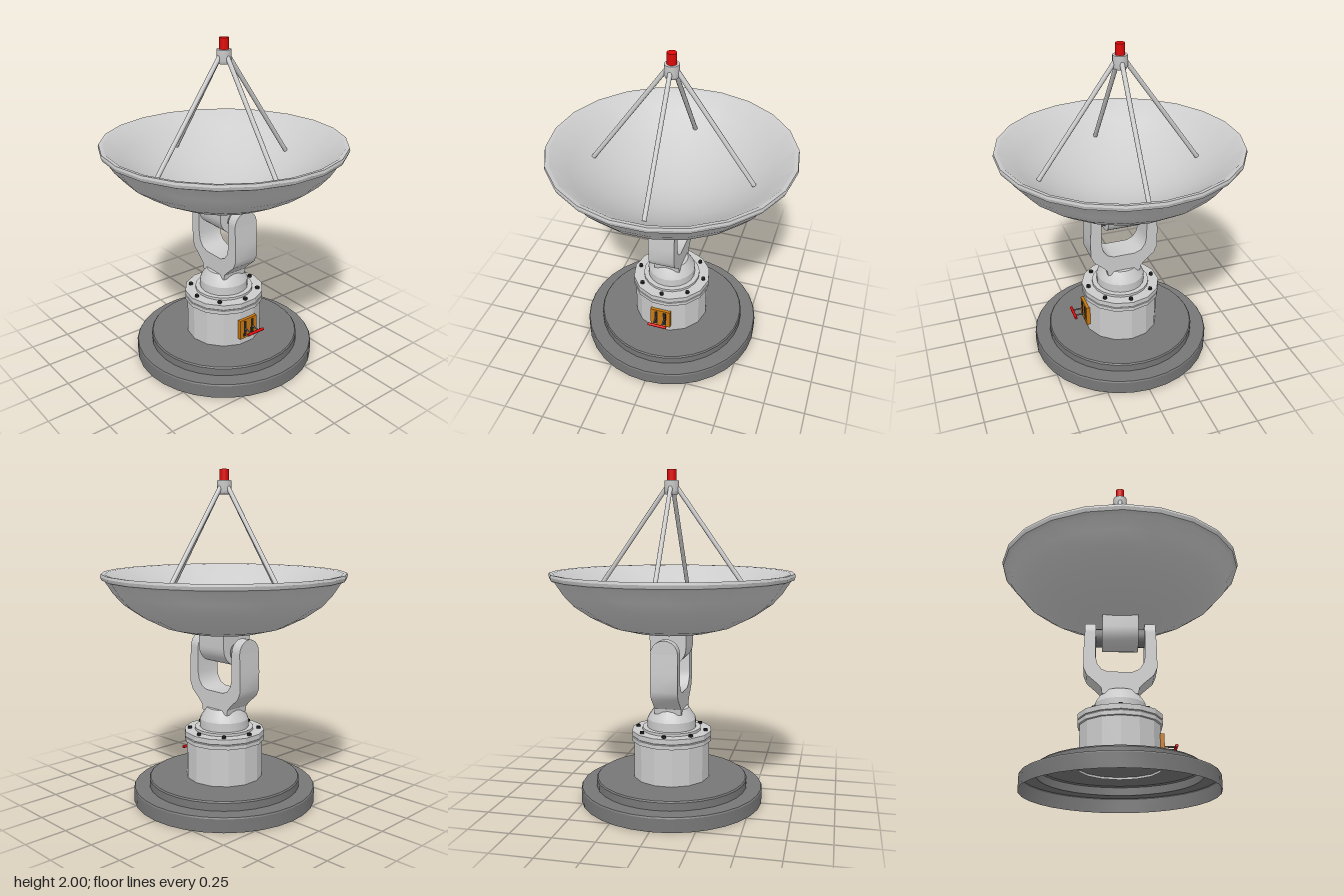
import * as THREE from 'three';
import { toCreasedNormals } from 'three/addons/utils/BufferGeometryUtils.js';

const material = (color, side = THREE.FrontSide) => new THREE.MeshStandardMaterial({ color, side });

export function createModel() {
  const model = new THREE.Group();
  const grey = material(0xcccccc);
  const greyBoth = material(0xcccccc, THREE.DoubleSide);
  const darkBoth = material(0x777777, THREE.DoubleSide);
  const dark = material(0x777777);
  const black = material(0x222222);
  const red = material(0xdd0808);
  const orange = material(0xc87810);

  const add = (name, geometry, mat, x = 0, y = 0, z = 0) => {
    const mesh = new THREE.Mesh(geometry, mat);
    mesh.name = name;
    mesh.position.set(x, y, z);
    model.add(mesh);
    return mesh;
  };

  // Turned part from [radius, height] pairs, with edges sharper than crease kept hard
  const turned = (name, profile, sides, crease, mat) => {
    const points = profile.map(([r, y]) => new THREE.Vector2(r, y));
    return add(name, toCreasedNormals(new THREE.LatheGeometry(points, sides), crease), mat);
  };

  // Round bar between two points
  const bar = (name, from, to, radius, mat, sides = 10) => {
    const a = new THREE.Vector3(...from), b = new THREE.Vector3(...to);
    const dir = b.clone().sub(a);
    const mesh = add(name, new THREE.CylinderGeometry(radius, radius, dir.length(), sides), mat);
    mesh.position.copy(a).add(b).multiplyScalar(0.5);
    mesh.quaternion.setFromUnitVectors(new THREE.Vector3(0, 1, 0), dir.normalize());
    return mesh;
  };

  // Stepped base, open underneath
  turned('base', [
    [0.56, 0], [0.56, 0.08], [0.555, 0.088], [0.465, 0.088],
    [0.465, 0.135], [0.458, 0.143], [0, 0.143],
  ], 32, 0.5, darkBoth);

  // Faceted pedestal with its bolted flange
  turned('pedestal', [[0.235, 0.13], [0.235, 0.38]], 14, 0.3, greyBoth);
  turned('flange', [
    [0.23, 0.372], [0.247, 0.374], [0.247, 0.398], [0.243, 0.402], [0.247, 0.406], [0.247, 0.436], [0, 0.436],
  ], 14, 0.3, grey);
  turned('flangeRing', [[0.18, 0.43], [0.18, 0.452], [0, 0.452]], 20, 0.4, grey);
  for (let i = 0; i < 8; i++) {
    const a = (i * Math.PI) / 4;
    add('flangeBolt', new THREE.CylinderGeometry(0.013, 0.013, 0.016, 8), black,
      0.212 * Math.sin(a), 0.441, 0.212 * Math.cos(a));
  }

  // Turntable under the yoke
  turned('turntable', [
    [0.15, 0.445], [0.15, 0.505], [0.14, 0.525], [0.105, 0.575], [0, 0.58],
  ], 20, 0.45, grey);

  // U-shaped yoke: half outline mirrored about x = 0
  const outer = [[0.105, 0.55], [0.11, 0.585], [0.135, 0.612], [0.195, 0.665], [0.215, 0.71], [0.215, 0.82], [0.21, 0.935]];
  const inner = [[0.145, 0.935], [0.145, 0.78], [0.135, 0.735], [0.11, 0.7], [0.07, 0.683]];
  const half = [...outer, ...inner];
  const outline = [...half, ...half.map(([x, y]) => [-x, y]).reverse()];
  const yokeShape = new THREE.Shape(outline.map(([x, y]) => new THREE.Vector2(x, y)));
  const yoke = new THREE.ExtrudeGeometry(yokeShape, { depth: 0.164, bevelEnabled: false });
  yoke.translate(0, 0, -0.082);
  add('yoke', toCreasedNormals(yoke, 0.6), grey);
  for (const s of [-1, 1]) {
    bar('yokeArmEnd', [s * 0.145, 0.935, 0], [s * 0.21, 0.935, 0], 0.082, grey, 20);
  }
  bar('tiltAxle', [-0.15, 0.93, 0], [0.15, 0.93, 0], 0.056, dark, 16);

  // Hub below the dish: flat sides with a rounded underside
  const hubShape = new THREE.Shape();
  hubShape.moveTo(0.11, 1.06);
  hubShape.lineTo(-0.11, 1.06);
  hubShape.lineTo(-0.11, 0.96);
  hubShape.absarc(0, 0.96, 0.11, Math.PI, Math.PI * 2, false);
  const hub = new THREE.ExtrudeGeometry(hubShape, { depth: 0.214, bevelEnabled: false, curveSegments: 8 });
  hub.translate(0, 0, -0.107);
  hub.rotateY(Math.PI / 2);
  add('dishHub', toCreasedNormals(hub, 0.6), grey);

  // Dish: underside, rolled rim, then the bowl
  turned('dish', [
    [0, 1.022], [0.11, 1.03], [0.25, 1.052], [0.37, 1.083], [0.5, 1.148], [0.6, 1.218],
    [0.66, 1.285], [0.705, 1.355], [0.725, 1.365], [0.732, 1.385], [0.728, 1.4], [0.705, 1.397],
    [0.6, 1.313], [0.49, 1.237], [0.36, 1.158], [0.2, 1.095], [0.1, 1.076], [0, 1.07],
  ], 22, 0.55, grey);

  // Four struts carrying the feed
  for (let i = 0; i < 4; i++) {
    const a = (i * Math.PI) / 2, c = Math.cos(a), s = Math.sin(a);
    bar('feedStrut', [0.025 * c, 1.905, 0.025 * s], [0.492 * c, 1.245, 0.492 * s], 0.0135, grey);
  }
  turned('feedCollar', [
    [0, 1.855], [0.036, 1.855], [0.043, 1.87], [0.043, 1.935], [0, 1.935],
  ], 16, 0.5, grey);
  add('feedTip', new THREE.CylinderGeometry(0.028, 0.028, 0.07, 16), red, 0, 1.965, 0);

  // Control box with two slots and a lever on the left side
  add('controlBox', new THREE.BoxGeometry(0.035, 0.13, 0.13), orange, 0.23, 0.255, 0);
  for (const s of [-1, 1]) {
    add('leverSlot', new THREE.BoxGeometry(0.004, 0.105, 0.02), black, 0.2475, 0.255, s * 0.028);
    bar('leverArm', [0.24, 0.255, s * 0.028], [0.315, 0.255, s * 0.028], 0.005, dark, 8);
  }
  bar('leverHandle', [0.315, 0.255, -0.06], [0.315, 0.255, 0.06], 0.009, red, 10);

  return model;
}
